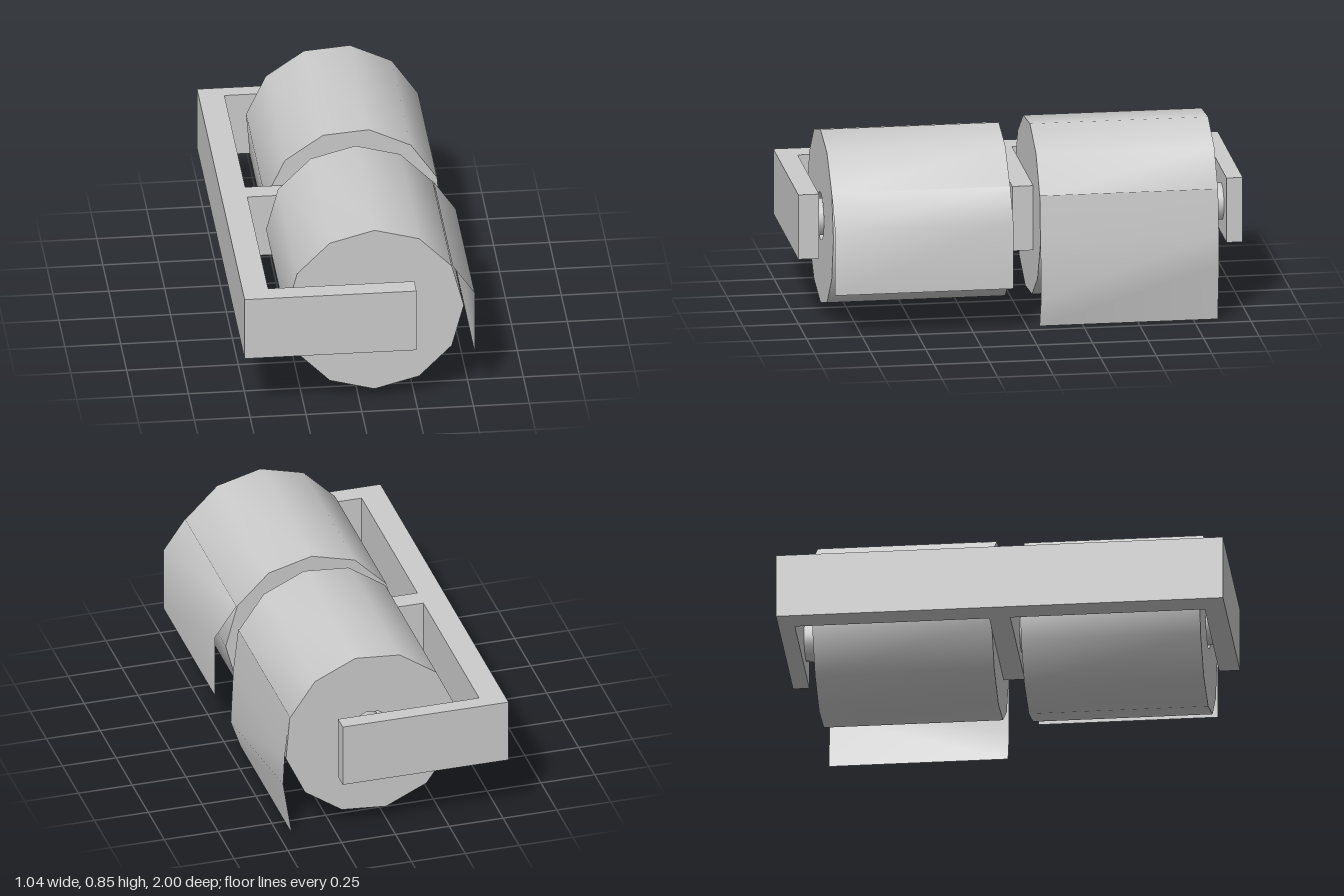
import * as THREE from 'three';
import { toCreasedNormals } from 'three/addons/utils/BufferGeometryUtils.js';

const material = new THREE.MeshStandardMaterial({ color: 0xcccccc });
const sheetMaterial = new THREE.MeshStandardMaterial({ color: 0xcccccc, side: THREE.DoubleSide });

function addMesh(parent, name, geometry, mat = material) {
  const mesh = new THREE.Mesh(geometry, mat);
  mesh.name = name;
  parent.add(mesh);
  return mesh;
}

// Box given by its minimum and maximum corners
function addBox(parent, name, min, max) {
  const size = max.map((v, i) => v - min[i]);
  const mesh = addMesh(parent, name, new THREE.BoxGeometry(...size));
  mesh.position.set(...max.map((v, i) => (v + min[i]) / 2));
}

// Twelve-sided paper roll with a hollow core, lying along z
function addRoll(parent, name, x, y, z0, z1, turn) {
  const h = (z1 - z0) / 2, outer = 0.4, inner = 0.11;
  const profile = [[inner, h], [inner, -h], [outer, -h], [outer, h], [inner, h]]
    .map(([r, t]) => new THREE.Vector2(r, t));
  const geometry = new THREE.LatheGeometry(profile, 12).rotateX(Math.PI / 2).rotateZ(turn);
  const mesh = addMesh(parent, name, toCreasedNormals(geometry, 0.8));
  mesh.position.set(x, y, (z0 + z1) / 2);
}

// Loose sheet spanning from a front edge path to a back edge path, points as [x, y]
function addSheet(parent, name, frontPath, backPath, zFront, zBack) {
  const geometry = new THREE.PlaneGeometry(1, 1, 1, frontPath.length - 1);
  const pos = geometry.attributes.position;
  frontPath.forEach((p, i) => {
    pos.setXYZ(2 * i, p[0], p[1], zFront);
    pos.setXYZ(2 * i + 1, backPath[i][0], backPath[i][1], zBack);
  });
  geometry.computeVertexNormals();
  addMesh(parent, name, geometry, sheetMaterial);
}

export function createModel() {
  const model = new THREE.Group();
  model.name = 'doubleRollHolder';

  // Holder: wall bar with three arms
  const holder = new THREE.Group();
  holder.name = 'holder';
  model.add(holder);
  addBox(holder, 'wallBar', [-0.525, 0.297, -1], [-0.41, 0.595, 1]);
  for (const [name, z0, z1] of [['frontArm', 0.907, 1], ['middleArm', -0.057, 0.037], ['backArm', -1, -0.927]]) {
    addBox(holder, name, [-0.41, 0.297, z0], [0.245, 0.595, z1]);
  }

  // Axles between the arms
  for (const [name, z0, z1] of [['frontAxle', 0.037, 0.907], ['backAxle', -0.927, -0.057]]) {
    const geometry = new THREE.CylinderGeometry(0.085, 0.085, z1 - z0, 12).rotateX(Math.PI / 2);
    addMesh(holder, name, geometry).position.set(0.085, 0.445, (z0 + z1) / 2);
  }

  // Rolls
  addRoll(model, 'frontRoll', 0.07, 0.445, 0.072, 0.875, 0);
  addRoll(model, 'backRoll', 0.073, 0.46, -0.859, -0.057, -0.18);

  // Loose ends hanging from the rolls
  const frontTail = [[0.42, 0.645], [0.52, 0.5], [0.52, 0.2]];
  addSheet(model, 'frontLooseSheet', frontTail, frontTail, 0.875, 0.072);
  addSheet(model, 'backLooseSheet',
    [[0.45, 0.605], [0.473, 0.4], [0.485, 0.13], [0.44, 0]],
    [[0.45, 0.605], [0.473, 0.4], [0.48, 0.26], [0.44, 0]], -0.057, -0.859);

  return model;
}
